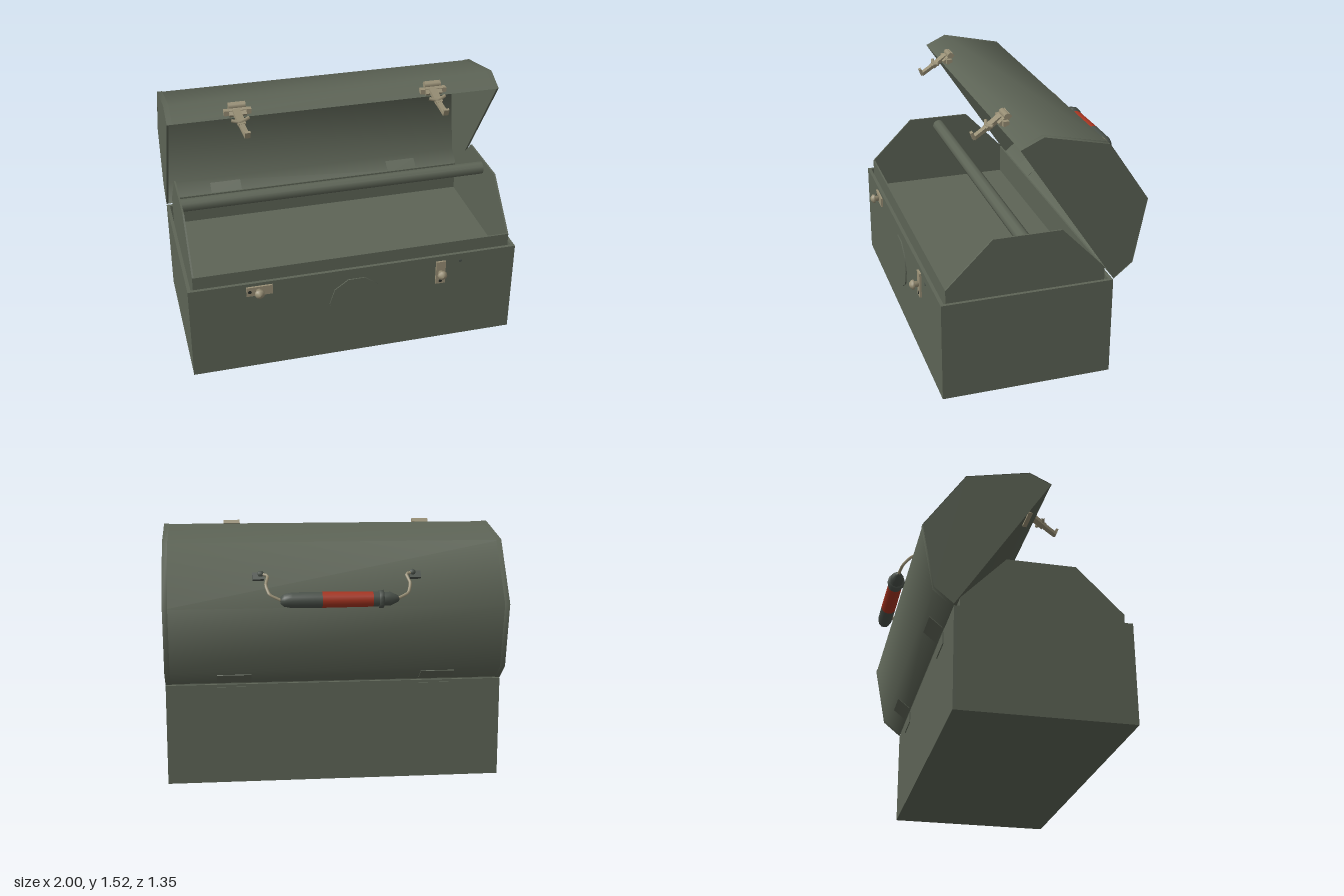
import * as THREE from 'three';

const paint = (name, color, side = THREE.FrontSide) => {
  const m = new THREE.MeshStandardMaterial({ color, side });
  m.name = name;
  return m;
};

export function createModel() {
  const green = paint('olive green', 0x5d6456, THREE.DoubleSide);
  const brass = paint('dull brass', 0x999076);
  const red = paint('red grip', 0xa63420);
  const dark = paint('dark metal', 0x4a514a);
  const black = paint('shadow black', 0x2a2d28);

  const model = new THREE.Group();
  model.name = 'toolbox';

  const add = (name, geo, mat, parent = model) => {
    const mesh = new THREE.Mesh(geo, mat);
    mesh.name = name;
    parent.add(mesh);
    return mesh;
  };
  const box = (name, w, h, d, x, y, z, mat, parent) => {
    const m = add(name, new THREE.BoxGeometry(w, h, d), mat, parent);
    m.position.set(x, y, z);
    return m;
  };
  const group = (name) => {
    const g = new THREE.Group();
    g.name = name;
    model.add(g);
    return g;
  };
  // Flat panel in the z-y plane, centred on the given x
  const panel = (name, points, x, thick, parent) => {
    const shape = new THREE.Shape(points.map(([z, y]) => new THREE.Vector2(z, y)));
    const geo = new THREE.ExtrudeGeometry(shape, { depth: thick, bevelEnabled: false });
    geo.rotateY(-Math.PI / 2).translate(x + thick / 2, 0, 0);
    return add(name, geo, green, parent);
  };
  // Smooth sheet following a z-y profile between two x positions
  const sheet = (name, profile, x0, x1, parent) => {
    const pos = [], idx = [];
    profile.forEach(([z, y], i) => {
      pos.push(x0, y, z, x1, y, z);
      const a = i * 2;
      if (i < profile.length - 1) idx.push(a, a + 1, a + 3, a, a + 3, a + 2);
    });
    const geo = new THREE.BufferGeometry();
    geo.setAttribute('position', new THREE.Float32BufferAttribute(pos, 3));
    geo.setIndex(idx);
    geo.computeVertexNormals();
    return add(name, geo, green, parent);
  };
  // Rectangular bar between two points
  const bar = (name, p, q, w, h, mat, parent) => {
    const a = new THREE.Vector3(...p), b = new THREE.Vector3(...q);
    const m = add(name, new THREE.BoxGeometry(w, h, a.distanceTo(b)), mat, parent);
    m.position.copy(a).add(b).multiplyScalar(0.5);
    m.lookAt(b);
    return m;
  };
  const wire = (name, pts, r, mat, parent) => {
    const curve = new THREE.CatmullRomCurve3(pts.map((p) => new THREE.Vector3(...p)), false, 'catmullrom', 0.2);
    return add(name, new THREE.TubeGeometry(curve, 16, r, 6), mat, parent);
  };

  // Open box
  const body = group('body');
  box('bottom', 2, 0.02, 1.005, 0, 0.01, 0.1025, green, body);
  box('frontWall', 2, 0.6, 0.02, 0, 0.3, 0.595, green, body);
  box('backWall', 2, 0.6, 0.02, 0, 0.3, -0.39, green, body);
  for (const s of [-1, 1]) box('sideWall', 0.02, 0.6, 0.965, s * 0.99, 0.3, 0.1025, green, body);

  // Lift-out tray with peaked ends and a carrying rod
  const tray = group('tray');
  box('trayFloor', 1.92, 0.01, 0.93, 0, 0.48, 0.105, green, tray);
  box('trayFront', 1.92, 0.19, 0.01, 0, 0.575, 0.565, green, tray);
  box('trayBack', 1.92, 0.19, 0.01, 0, 0.575, -0.355, green, tray);
  const trayEnd = [[0.57, 0.48], [0.57, 0.67], [0.3, 0.94], [-0.1, 0.94], [-0.36, 0.67], [-0.36, 0.48]];
  for (const s of [-1, 1]) panel('trayEnd', trayEnd, s * 0.96, 0.01, tray);
  const rod = add('trayRod', new THREE.CylinderGeometry(0.04, 0.04, 1.91, 10), green, tray);
  rod.rotation.z = Math.PI / 2;
  rod.position.set(0, 0.88, 0.1);

  // Open lid: smooth curved skin, end panels and folded end flanges
  const lid = group('lid');
  const profile = [[0.16, 1.45], [0.03, 1.51], [-0.34, 1.43], [-0.58, 1.08], [-0.51, 0.7], [-0.4, 0.61]];
  sheet('lidSkin', profile, -1, 1, lid);
  const flange = profile.map(([z, y]) => [-0.2 + (z + 0.2) * 1.008, 1.08 + (y - 1.08) * 1.008]);
  for (const s of [-1, 1]) {
    panel('lidEnd', profile, s * 0.994, 0.012, lid);
    sheet('lidFlange', flange, s * 0.985 - 0.015, s * 0.985 + 0.015, lid);
  }

  // Hinges
  for (const s of [-1, 1]) {
    const hinge = group('hinge');
    box('hingeLeaf', 0.2, 0.07, 0.006, s * 0.6, 0.55, -0.403, green, hinge);
    bar('hingeLidLeaf', [s * 0.6, 0.615, -0.408], [s * 0.6, 0.675, -0.482], 0.2, 0.006, green, hinge);
  }

  // Badge plate on the front
  const badge = add('frontBadge', new THREE.CylinderGeometry(0.165, 0.165, 0.008, 10), green);
  badge.rotation.set(Math.PI / 2, Math.PI / 10, 0);
  badge.position.set(0, 0.375, 0.608);

  // Turn knobs on the front, one plate level and one upright
  const knobProfile = [[0, 0], [0.018, 0], [0.018, 0.028], [0.03, 0.032], [0.028, 0.045], [0.014, 0.058], [0, 0.062]]
    .map((p) => new THREE.Vector2(...p));
  const catchPlate = (x, y, angle, knobOffset) => {
    const g = group('frontCatch');
    g.position.set(x, y, 0.605);
    g.rotation.z = angle;
    box('catchPlate', 0.155, 0.06, 0.012, 0, 0, 0.006, brass, g);
    const knob = add('catchKnob', new THREE.LatheGeometry(knobProfile, 10), brass, g);
    knob.rotation.x = Math.PI / 2;
    knob.position.set(knobOffset, 0, 0.006);
    const hole = add('catchHole', new THREE.CylinderGeometry(0.011, 0.011, 0.003, 10), black, g);
    hole.rotation.x = Math.PI / 2;
    hole.position.set(-0.058, 0, 0.0125);
  };
  catchPlate(-0.585, 0.55, 0, -0.005);
  catchPlate(0.525, 0.49, Math.PI / 2, 0);
  const rivet = add('rivet', new THREE.CylinderGeometry(0.01, 0.01, 0.004, 10), dark);
  rivet.rotation.x = Math.PI / 2;
  rivet.position.set(0.65, 0.55, 0.606);

  // Hasps on the lid lip
  for (const x of [-0.59, 0.59]) {
    const g = group('lidHasp');
    const at = (dx, y, z) => [x + dx, y, z];
    bar('haspPlate', at(0, 1.515, 0.095), at(0, 1.462, 0.16), 0.1, 0.022, brass, g);
    bar('haspWing', at(-0.08, 1.475, 0.13), at(0.08, 1.475, 0.13), 0.035, 0.03, brass, g);
    bar('haspArm', at(-0.01, 1.49, 0.14), at(0.01, 1.435, 0.23), 0.045, 0.022, brass, g);
    bar('haspArmEnd', at(0.005, 1.437, 0.225), at(0.025, 1.395, 0.305), 0.032, 0.02, brass, g);
    bar('haspHook', at(0.025, 1.39, 0.3), at(0.025, 1.43, 0.315), 0.032, 0.016, brass, g);
    wire('haspClaw', [at(-0.05, 1.46, 0.21), at(0, 1.45, 0.22), at(0.055, 1.46, 0.195)], 0.011, brass, g);
    const pin = add('haspPin', new THREE.CylinderGeometry(0.02, 0.02, 0.1, 8), brass, g);
    pin.rotation.z = Math.PI / 2;
    pin.position.set(...at(0, 1.505, 0.115));
  }

  // Carrying handle: segments along x, turned from a y-axis profile
  const handle = group('handle');
  handle.position.set(0, 1.13, -0.62);
  handle.rotation.z = -Math.PI / 2;
  const turned = (name, pts, mat) =>
    add(name, new THREE.LatheGeometry(pts.map(([r, x]) => new THREE.Vector2(r, x)), 12), mat, handle);
  turned('handleTip', [[0, -0.345], [0.018, -0.335], [0.04, -0.29], [0.04, -0.25]], dark);
  turned('handleRing', [[0.03, -0.25], [0.052, -0.25], [0.052, -0.225], [0.03, -0.225]], dark);
  turned('handleCollar', [[0.042, -0.225], [0.044, -0.19]], dark);
  turned('handleGrip', [[0.044, -0.19], [0.046, 0.1]], red);
  turned('handleEnd', [[0.046, 0.1], [0.045, 0.27], [0.036, 0.315], [0.02, 0.335], [0, 0.338]], dark);

  // Handle mounts and wire links
  for (const s of [-1, 1]) {
    const g = group('handleMount');
    const mount = bar('mountPlate', [s * 0.455, 1.265, -0.462], [s * 0.455, 1.23, -0.487], 0.065, 0.022, dark, g);
    mount.position.z -= 0.01;
    const boss = add('mountBoss', new THREE.SphereGeometry(0.02, 8, 6), dark, g);
    boss.position.set(s * 0.44, 1.262, -0.482);
    wire('handleLink', [
      [s * 0.44, 1.262, -0.485], [s * 0.4, 1.255, -0.5], [s * 0.415, 1.21, -0.56],
      [s * 0.395, 1.16, -0.605], [s * 0.33, 1.13, -0.62],
    ], 0.009, brass, g);
  }

  return model;
}
